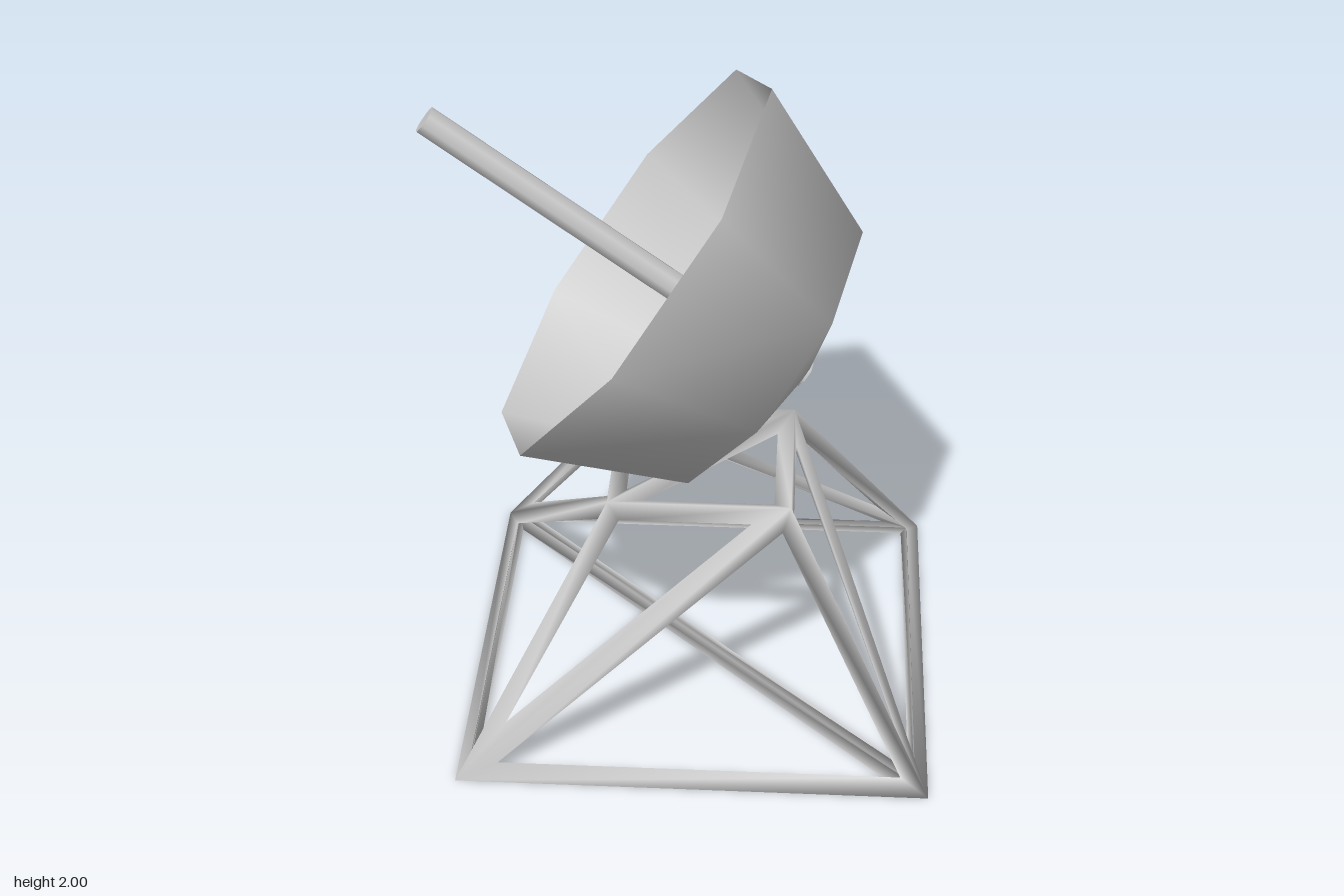
import * as THREE from 'three';

const V = (x, y, z) => new THREE.Vector3(x, y, z);

// Open lattice: every triangle of the truncated pyramid becomes a mitred border of bars
function latticeGeometry() {
  const signs = [[-1, 1], [1, 1], [1, -1], [-1, -1]];
  const width = 0.04, depth = 0.06;
  const outer = [], inner = [], mid = [];
  const ring = (half, y, normal) => signs.forEach(([sx, sz]) => {
    const p = V(sx * half, y, sz * half);
    const offset = V(sx * normal[0], normal[1], sz * normal[0]).multiplyScalar(-depth);
    outer.push(p);
    mid.push(p.clone().addScaledVector(offset, 0.5));
    inner.push(p.clone().add(offset));
  });
  ring(0.72, 0, [0.66, -0.31]); // corners 0-3: base
  ring(0.28, 0.745, [0.4, 0.83]); // corners 4-7: top

  // Four braced sides, then top and base
  const faces = [[4, 5, 6], [4, 6, 7], [1, 0, 3], [1, 3, 2]];
  for (let k = 0; k < 4; k++) {
    const n = (k + 1) % 4;
    faces.push([k, n, n + 4], [k, n + 4, k + 4]);
  }

  const points = [...outer, ...inner], index = [];
  const quad = (a, b, c, d) => index.push(a, b, c, a, c, d);
  for (const face of faces) {
    const first = points.length;
    face.forEach((id, i) => {
      const p = mid[id];
      const u = mid[face[(i + 1) % 3]].clone().sub(p).normalize();
      const v = mid[face[(i + 2) % 3]].clone().sub(p).normalize();
      points.push(p.clone().addScaledVector(u.clone().add(v), width / Math.sin(u.angleTo(v))));
    });
    for (let i = 0; i < 3; i++) {
      const j = (i + 1) % 3, a = face[i], b = face[j];
      quad(a, b, first + j, first + i);
      quad(b + 8, a + 8, first + i, first + j);
    }
  }
  const geometry = new THREE.BufferGeometry().setFromPoints(points);
  geometry.setIndex(index);
  geometry.computeVertexNormals();
  return geometry;
}

export function createModel() {
  const model = new THREE.Group();
  const grey = new THREE.MeshStandardMaterial({ color: 0xcccccc });
  const thin = new THREE.MeshStandardMaterial({ color: 0xcccccc, side: THREE.DoubleSide });
  const add = (parent, name, geometry, material) => {
    const mesh = new THREE.Mesh(geometry, material);
    mesh.name = name;
    parent.add(mesh);
    return mesh;
  };

  // Lattice stand
  add(model, 'latticeStand', latticeGeometry(), grey).position.x = 0.06;

  // Tilted head, with its origin at the centre of the rim
  const head = new THREE.Group();
  head.name = 'dishHead';
  head.position.set(-0.16, 1.44, 0);
  head.rotation.z = 0.939;
  model.add(head);

  // Eight-sided open bowl
  const profile = [[0, -0.648], [0.05, -0.645], [0.492, -0.491], [0.695, 0]];
  const bowl = new THREE.LatheGeometry(profile.map(([r, y]) => new THREE.Vector2(r, y)), 8);
  add(head, 'dish', bowl, thin);

  // Antenna rod through the middle of the bowl
  const rod = new THREE.CylinderGeometry(0.045, 0.045, 1.395, 8);
  add(head, 'antennaRod', rod, grey).position.y = 0.0425;

  return model;
}
